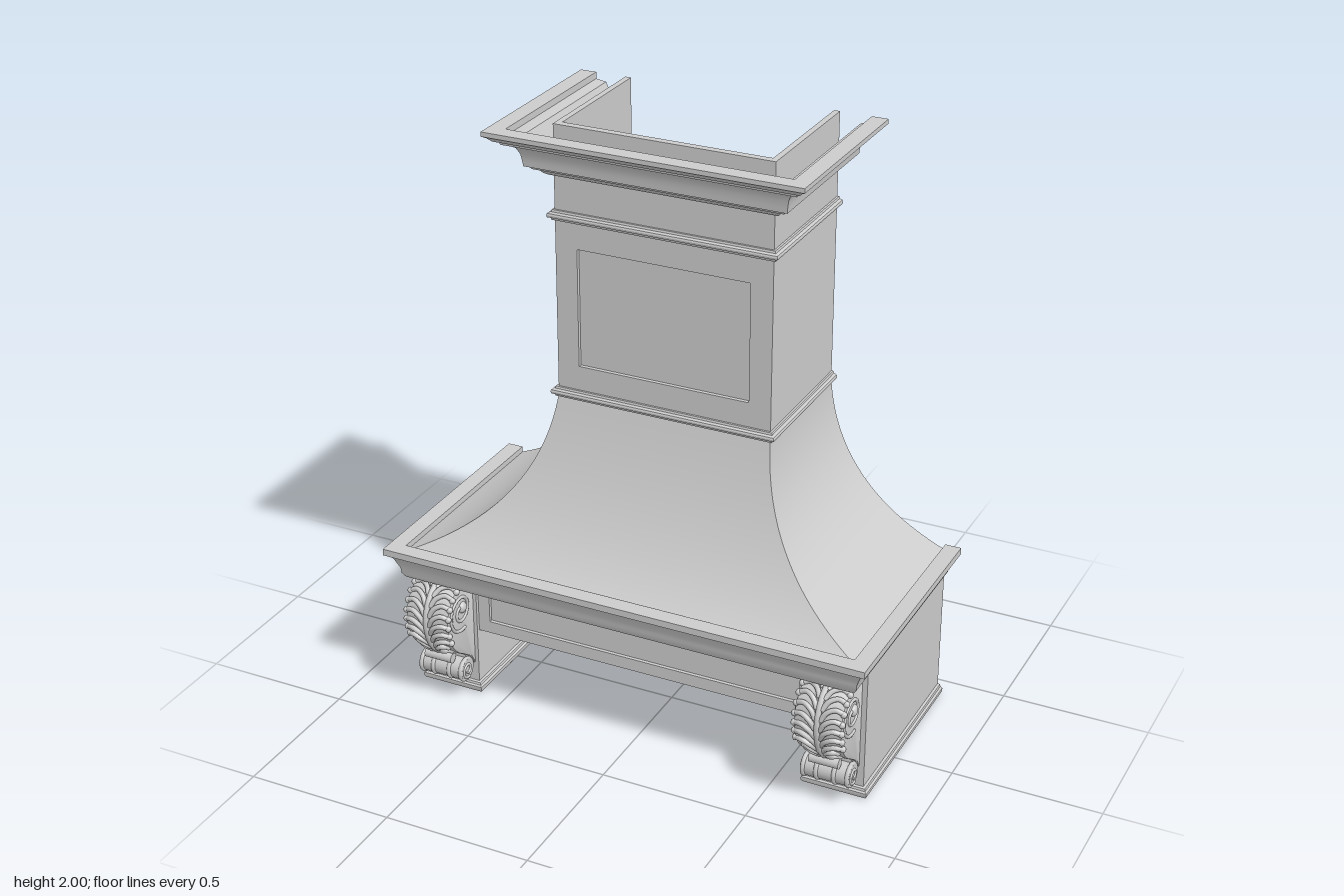
import * as THREE from 'three';
import { toCreasedNormals } from 'three/addons/utils/BufferGeometryUtils.js';

const BACK = -0.42;
const mat = new THREE.MeshStandardMaterial({ color: 0xcccccc });
const open = new THREE.MeshStandardMaterial({ color: 0xcccccc, side: THREE.DoubleSide });

function add(parent, name, geo, material = mat) {
  const m = new THREE.Mesh(geo, material);
  m.name = name;
  parent.add(m);
  return m;
}

function box(parent, name, x0, x1, y0, y1, z0, z1) {
  const g = new THREE.BoxGeometry(x1 - x0, y1 - y0, z1 - z0);
  g.translate((x0 + x1) / 2, (y0 + y1) / 2, (z0 + z1) / 2);
  return add(parent, name, g);
}

// Sweep rows of [half width, front z, y] round left, front and right sides.
// A closed profile gets caps against the back wall.
function sweepU(rows, closed, cx = 0, crease = 0.6) {
  const pos = [];
  const corners = ([hx, hz, y]) => [[cx - hx, y, BACK], [cx - hx, y, hz], [cx + hx, y, hz], [cx + hx, y, BACK]];
  const n = rows.length;
  for (let i = 0; i < (closed ? n : n - 1); i++) {
    const a = corners(rows[i]), b = corners(rows[(i + 1) % n]);
    for (let c = 0; c < 3; c++) {
      pos.push(...a[c], ...a[c + 1], ...b[c + 1], ...a[c], ...b[c + 1], ...b[c]);
    }
  }
  if (closed) {
    const outline = rows.map(r => new THREE.Vector2(r[0], r[2]));
    for (const [i, j, k] of THREE.ShapeUtils.triangulateShape(outline, [])) {
      const at = (q, c) => corners(rows[q])[c];
      pos.push(...at(k, 3), ...at(j, 3), ...at(i, 3), ...at(i, 0), ...at(j, 0), ...at(k, 0));
    }
  }
  const g = new THREE.BufferGeometry();
  g.setAttribute('position', new THREE.Float32BufferAttribute(pos, 3));
  return toCreasedNormals(g, crease);
}

// Moulding profile of [outward offset, y], outer side listed upwards
function moulding(parent, name, hx, hz, profile, cx = 0) {
  return add(parent, name, sweepU(profile.map(([o, y]) => [hx + o, hz + o, y]), true, cx));
}

// Flat frame round a sunken rectangular panel
function panelFrame(parent, name, hx, y0, y1, ix, iy0, iy1, z0, z1) {
  const rect = (C, w, a, b) => {
    const s = new C();
    s.moveTo(-w, a); s.lineTo(w, a); s.lineTo(w, b); s.lineTo(-w, b); s.closePath();
    return s;
  };
  const s = rect(THREE.Shape, hx, y0, y1);
  s.holes.push(rect(THREE.Path, ix, iy0, iy1));
  const g = new THREE.ExtrudeGeometry(s, { depth: z1 - z0, bevelEnabled: false });
  g.translate(0, 0, z0);
  return add(parent, name, g);
}

// Flared hood section, bottom to top
const bez = (a, b, c, t) => a * (1 - t) ** 2 + 2 * b * t * (1 - t) + c * t * t;
const hoodRows = [];
for (let i = 0; i <= 28; i++) {
  const t = i / 28;
  hoodRows.push([bez(0.79, 0.40, 0.37, t), bez(0.358, 0.17, 0.065, t), bez(0.555, 0.71, 1.09, t)]);
}

function createCorbel() {
  const g = new THREE.Group();
  g.name = 'corbel';
  // Front line of the bracket as (z, y), from top to leaf tip
  const front = new THREE.SplineCurve([[0.25, 0.447], [0.32, 0.445], [0.375, 0.415], [0.404, 0.36], [0.403, 0.3],
    [0.38, 0.24], [0.345, 0.2], [0.31, 0.175]].map(p => new THREE.Vector2(...p)));
  const s = new THREE.Shape([...front.getPoints(36), new THREE.Vector2(0.275, 0.15),
    new THREE.Vector2(0.24, 0.1), new THREE.Vector2(0.24, 0.447)]);
  const body = new THREE.ExtrudeGeometry(s, { depth: 0.144, bevelSize: 0.006, bevelThickness: 0.008, bevelSegments: 2, bevelOffset: -0.006 });
  body.rotateY(-Math.PI / 2).translate(0.072, 0, 0);
  add(g, 'bracketBody', toCreasedNormals(body, 0.6));

  // Point on the curved front face
  const onFace = (u, x, lift) => {
    const v = Math.min(Math.max(u, 0), 1), p = front.getPointAt(v), t = front.getTangentAt(v);
    return new THREE.Vector3(x, p.y + t.x * lift, p.x - t.y * lift);
  };
  const tube = (name, pts, r, seg = 14) =>
    add(g, name, new THREE.TubeGeometry(new THREE.CatmullRomCurve3(pts), seg, r, 8));

  // Leaf: central rib and feathered lobes
  const rib = [];
  for (let i = 0; i <= 12; i++) rib.push(onFace(0.1 + 0.9 * i / 12, 0, 0.006));
  tube('leafRib', rib, 0.01, 40);
  for (let k = 0; k < 11; k++) {
    const u = 0.16 + k * 0.08, w = k > 8 ? 0.7 : 1;
    for (const side of [-1, 1]) {
      tube('leafLobe', [onFace(u, 0.008 * side, 0.003), onFace(u - 0.07, 0.026 * side * w, 0.008),
        onFace(u - 0.105, 0.053 * side * w, 0.007), onFace(u - 0.09, 0.08 * side * w, -0.002)], 0.0085);
      const tip = add(g, 'lobeTip', new THREE.SphereGeometry(0.011, 10, 8));
      tip.position.copy(onFace(u - 0.088, 0.079 * side * w, -0.002));
    }
  }

  // Rolled leaf tip and small lower scroll
  const roll = (name, r, len, y, z) => {
    const c = new THREE.CylinderGeometry(r, r, len, 24).rotateZ(Math.PI / 2);
    add(g, name, c).position.set(0, y, z);
  };
  roll('leafCurl', 0.017, 0.1, 0.167, 0.337);
  roll('lowerScroll', 0.038, 0.165, 0.112, 0.3);
  for (const x of [-0.075, -0.03, 0.03, 0.075]) {
    const ring = add(g, 'scrollRing', new THREE.TorusGeometry(0.036, 0.008, 8, 24).rotateY(Math.PI / 2));
    ring.position.set(x, 0.112, 0.3);
  }
  box(g, 'scrollBack', -0.07, 0.07, 0.08, 0.16, 0.24, 0.29);

  // Side volutes with round bosses
  const volute = (x, y, z, r, turns, wire) => {
    const pts = [];
    for (let i = 0; i <= 36; i++) {
      const f = i / 36, a = -1.9 + f * turns * Math.PI * 2, q = r * (1 - 0.75 * f);
      pts.push(new THREE.Vector3(x, y + q * Math.sin(a), z + q * Math.cos(a)));
    }
    tube('volute', pts, wire, 64);
  };
  for (const side of [-1, 1]) {
    volute(0.08 * side, 0.35, 0.325, 0.073, 1.5, 0.006);
    volute(0.083 * side, 0.112, 0.3, 0.03, 1.25, 0.005);
    const boss = add(g, 'boss', new THREE.SphereGeometry(0.02, 16, 12));
    boss.scale.x = 0.7;
    boss.position.set(0.08 * side, 0.362, 0.315);
  }
  return g;
}

export function createModel() {
  const model = new THREE.Group();
  model.name = 'rangeHood';

  // Side legs with base trim and carved corbels
  for (const side of [-1, 1]) {
    const cx = 0.697 * side;
    box(model, 'leg', cx - 0.095, cx + 0.095, 0, 0.47, BACK, 0.245);
    moulding(model, 'baseTrim', 0.095, 0.245,
      [[-0.005, 0.006], [0.014, 0.006], [0.017, 0.012], [0.017, 0.024], [0.01, 0.028], [0.008, 0.036], [-0.005, 0.04]], cx);
    const corbel = createCorbel();
    corbel.position.x = 0.695 * side;
    model.add(corbel);
  }

  // Front apron with sunken panel
  box(model, 'apron', -0.61, 0.61, 0.232, 0.47, 0.2, 0.22);
  panelFrame(model, 'apronFrame', 0.61, 0.232, 0.47, 0.56, 0.275, 0.42, 0.22, 0.232);

  // Mantel shelf with raised rim
  moulding(model, 'mantel', 0.79, 0.36, [[-0.15, 0.458], [0.004, 0.458], [0.014, 0.475], [0.016, 0.495], [0.024, 0.515],
    [0.032, 0.535], [0.04, 0.542], [0.04, 0.55], [0.055, 0.552], [0.055, 0.575], [0, 0.575], [0, 0.53], [-0.15, 0.5]]);

  add(model, 'flaredHood', sweepU(hoodRows, false), open);

  // Chimney walls and sunken front panel
  const wall = [[0.37, 0.052, 1.08], [0.37, 0.052, 2], [0.35, 0.04, 2], [0.35, 0.04, 1.08]];
  add(model, 'chimneyWalls', sweepU(wall, true));
  panelFrame(model, 'chimneyFrame', 0.37, 1.08, 2, 0.295, 1.2, 1.6, 0.052, 0.065);
  box(model, 'chimneyFloor', -0.352, 0.352, 1.66, 1.68, BACK, 0.045);

  // Narrow bands round the chimney
  for (const y of [1.083, 1.688]) {
    moulding(model, 'chimneyBand', 0.37, 0.065, [[-0.004, 0], [0.008, 0], [0.01, 0.007], [0.018, 0.01],
      [0.02, 0.017], [0.018, 0.023], [0.009, 0.027], [0.007, 0.034], [-0.004, 0.034]].map(([o, h]) => [o, y + h]));
  }

  // Crown
  moulding(model, 'crown', 0.37, 0.065, [[-0.003, 1.838], [0.014, 1.838], [0.024, 1.845], [0.032, 1.855], [0.05, 1.862],
    [0.054, 1.872], [0.068, 1.874], [0.07, 1.89], [0.074, 1.915], [0.084, 1.936], [0.1, 1.947], [0.118, 1.952],
    [0.12, 1.96], [0.135, 1.965], [0.148, 1.978], [0.16, 1.985], [0.16, 2], [0.105, 2], [0.105, 1.978],
    [0.07, 1.972], [0.02, 1.87], [-0.003, 1.87]]);

  // Back wall following the hood outline
  const right = [[0.79, 0.44], ...hoodRows.map(r => [r[0], r[2]]), [0.37, 1.68]];
  const outline = [...right, ...right.map(([x, y]) => [-x, y]).reverse()].map(p => new THREE.Vector2(...p));
  const back = new THREE.ExtrudeGeometry(new THREE.Shape(outline), { depth: 0.02, bevelEnabled: false });
  add(model, 'backWall', back.translate(0, 0, BACK));
  box(model, 'backLedge', -0.61, 0.61, 0.44, 0.46, BACK + 0.005, -0.25);

  return model;
}
